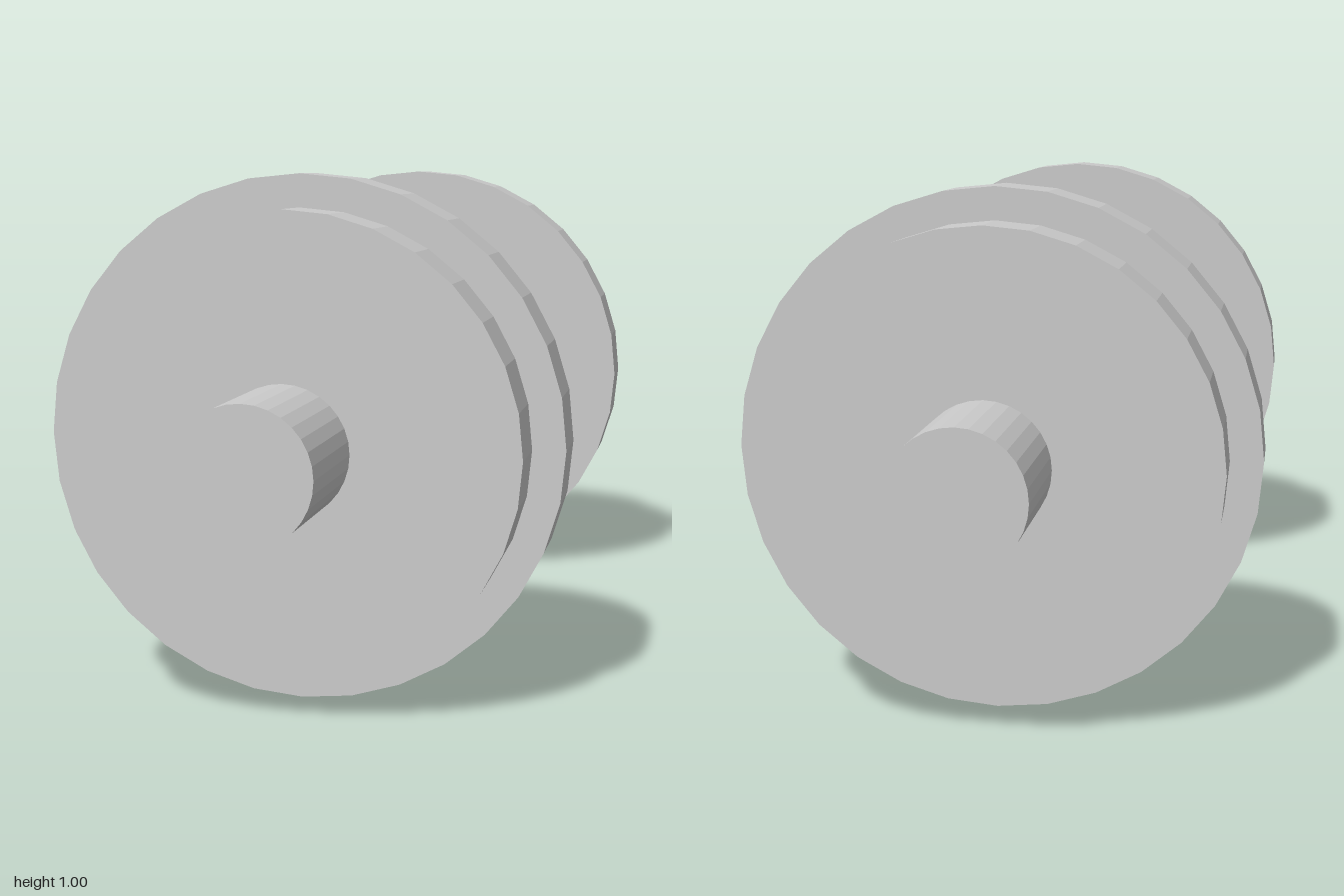
import * as THREE from 'three';

const SIDES = 32;
const AXLE_RADIUS = 0.125;
const CENTRE_HEIGHT = 0.5;

export function createModel() {
  const model = new THREE.Group();
  model.name = 'wheelset';
  const metal = new THREE.MeshStandardMaterial({ color: 0xcccccc, flatShading: true });

  // Axle running front to back through both wheels
  const axleGeometry = new THREE.CylinderGeometry(AXLE_RADIUS, AXLE_RADIUS, 2, SIDES);
  axleGeometry.rotateX(Math.PI / 2);
  const axle = new THREE.Mesh(axleGeometry, metal);
  axle.name = 'axle';
  axle.position.y = CENTRE_HEIGHT;
  model.add(axle);

  // Wheel profile: radius against distance from the middle, flange inside and tread outside
  const profile = [
    [AXLE_RADIUS, 0.5],
    [0.5, 0.5],
    [0.5, 0.625],
    [0.4375, 0.625],
    [0.4375, 0.75],
    [AXLE_RADIUS, 0.75],
  ].map(([radius, distance]) => new THREE.Vector2(radius, distance));
  const wheelGeometry = new THREE.LatheGeometry(profile, SIDES);

  // The same wheel turned to face each end
  for (const [name, direction] of [['frontWheel', 1], ['backWheel', -1]]) {
    const wheel = new THREE.Mesh(wheelGeometry, metal);
    wheel.name = name;
    wheel.rotation.x = direction * Math.PI / 2;
    wheel.position.y = CENTRE_HEIGHT;
    model.add(wheel);
  }

  return model;
}
